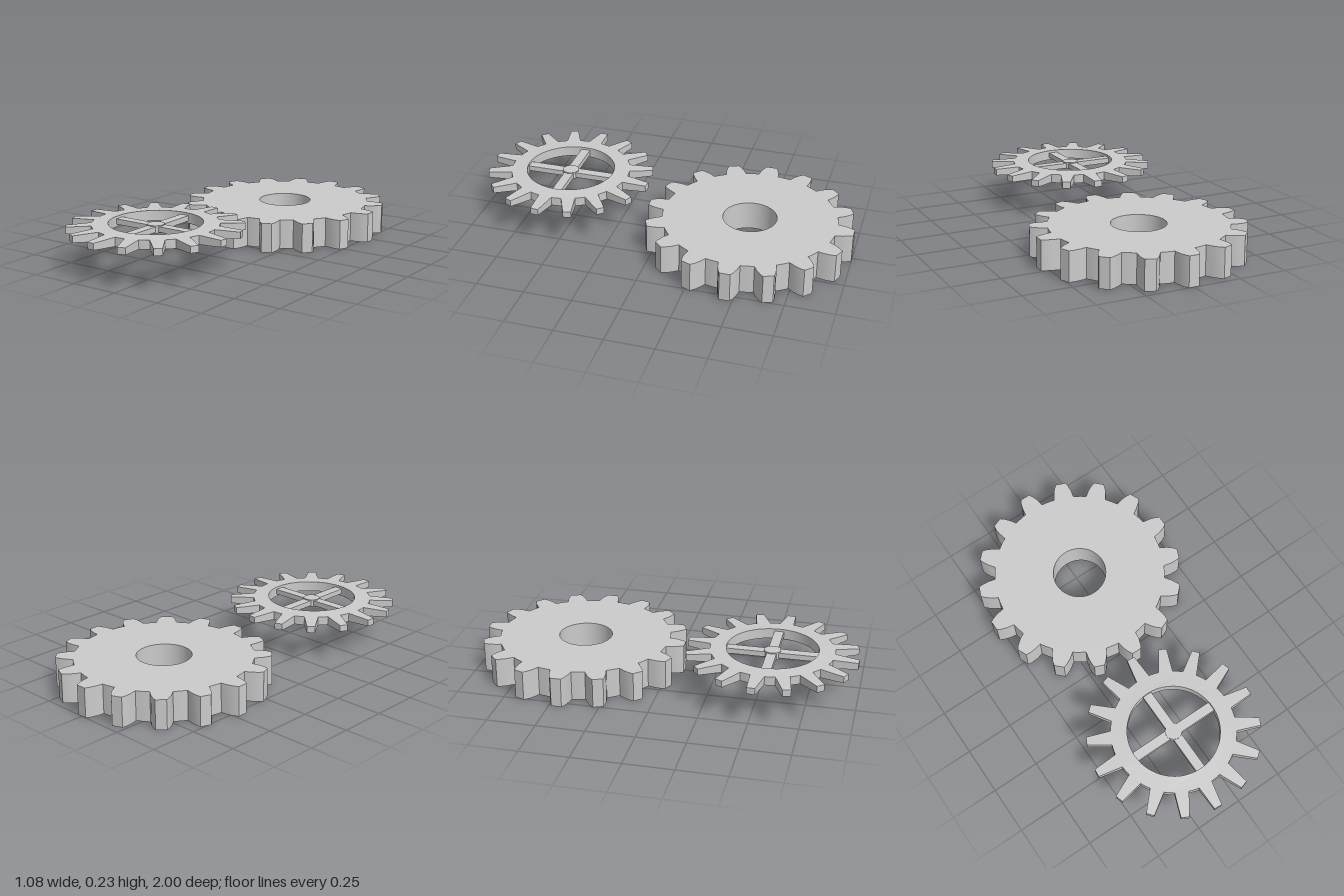
import * as THREE from 'three';
import { toCreasedNormals } from 'three/addons/utils/BufferGeometryUtils.js';

const material = new THREE.MeshStandardMaterial({ color: 0xcccccc });
const TEETH = 16;

// Gear outline: flank is a list of [radius, half width] from root to tip, root arcs lie between teeth
function gearShape(flank, phase, holeRadius) {
  const points = [];
  const pitch = (Math.PI * 2) / TEETH;
  const polar = (r, a) => points.push(new THREE.Vector2(r * Math.cos(a), r * Math.sin(a)));
  const [rootR, rootW] = flank[0];
  const rootHalf = Math.asin(rootW / rootR);
  for (let i = 0; i < TEETH; i++) {
    const a = phase + i * pitch;
    for (const [r, w] of flank) polar(r, a - Math.asin(w / r));
    for (const [r, w] of [...flank].reverse()) polar(r, a + Math.asin(w / r));
    for (let k = 1; k < 4; k++) polar(rootR, a + rootHalf + ((pitch - 2 * rootHalf) * k) / 4);
  }
  const shape = new THREE.Shape(points);
  const hole = new THREE.Path();
  hole.absarc(0, 0, holeRadius, 0, Math.PI * 2, true);
  shape.holes.push(hole);
  return shape;
}

// Extruded gear lying flat, vertically centred on its own origin
function gearGeometry(shape, height) {
  const geometry = new THREE.ExtrudeGeometry(shape, { depth: height, bevelEnabled: false, curveSegments: 32 });
  geometry.translate(0, 0, -height / 2);
  geometry.rotateX(-Math.PI / 2);
  return geometry;
}

function addMesh(parent, name, geometry) {
  const mesh = new THREE.Mesh(geometry, material);
  mesh.name = name;
  parent.add(mesh);
  return mesh;
}

export function createModel() {
  const model = new THREE.Group();
  model.name = 'gearPair';

  // Thick driving gear with curved tooth flanks
  const largeShape = gearShape([[0.453, 0.054], [0.49, 0.048], [0.52, 0.038], [0.54, 0.027]], 0, 0.14);
  const large = addMesh(model, 'largeGear', toCreasedNormals(gearGeometry(largeShape, 0.155), 0.5));
  large.position.set(0, 0.0775, -0.46);

  // Thin spoked wheel
  const wheel = new THREE.Group();
  wheel.name = 'spokedGear';
  wheel.position.set(-0.104, 0.2015, 0.556);
  model.add(wheel);

  // Rim and teeth, thinning from the inner edge to the tooth tips
  const inner = 0.235, tip = 0.442;
  const smallShape = gearShape([[0.318, 0.036], [tip, 0.021]], THREE.MathUtils.degToRad(-5.2), inner);
  const rim = gearGeometry(smallShape, 0.054);
  const pos = rim.attributes.position;
  for (let i = 0; i < pos.count; i++) {
    const r = Math.hypot(pos.getX(i), pos.getZ(i));
    const t = THREE.MathUtils.clamp((r - inner) / (tip - inner), 0, 1);
    pos.setY(i, pos.getY(i) * (1 - 0.37 * t));
  }
  addMesh(wheel, 'toothedRim', toCreasedNormals(rim, 0.5));

  // Crossed spokes and hub
  for (let i = 0; i < 2; i++) {
    const spoke = addMesh(wheel, 'spokePair', new THREE.BoxGeometry(0.485, 0.028, 0.05));
    spoke.rotation.y = (i * Math.PI) / 2;
  }
  addMesh(wheel, 'hub', new THREE.CylinderGeometry(0.043, 0.043, 0.038, 32));

  return model;
}
